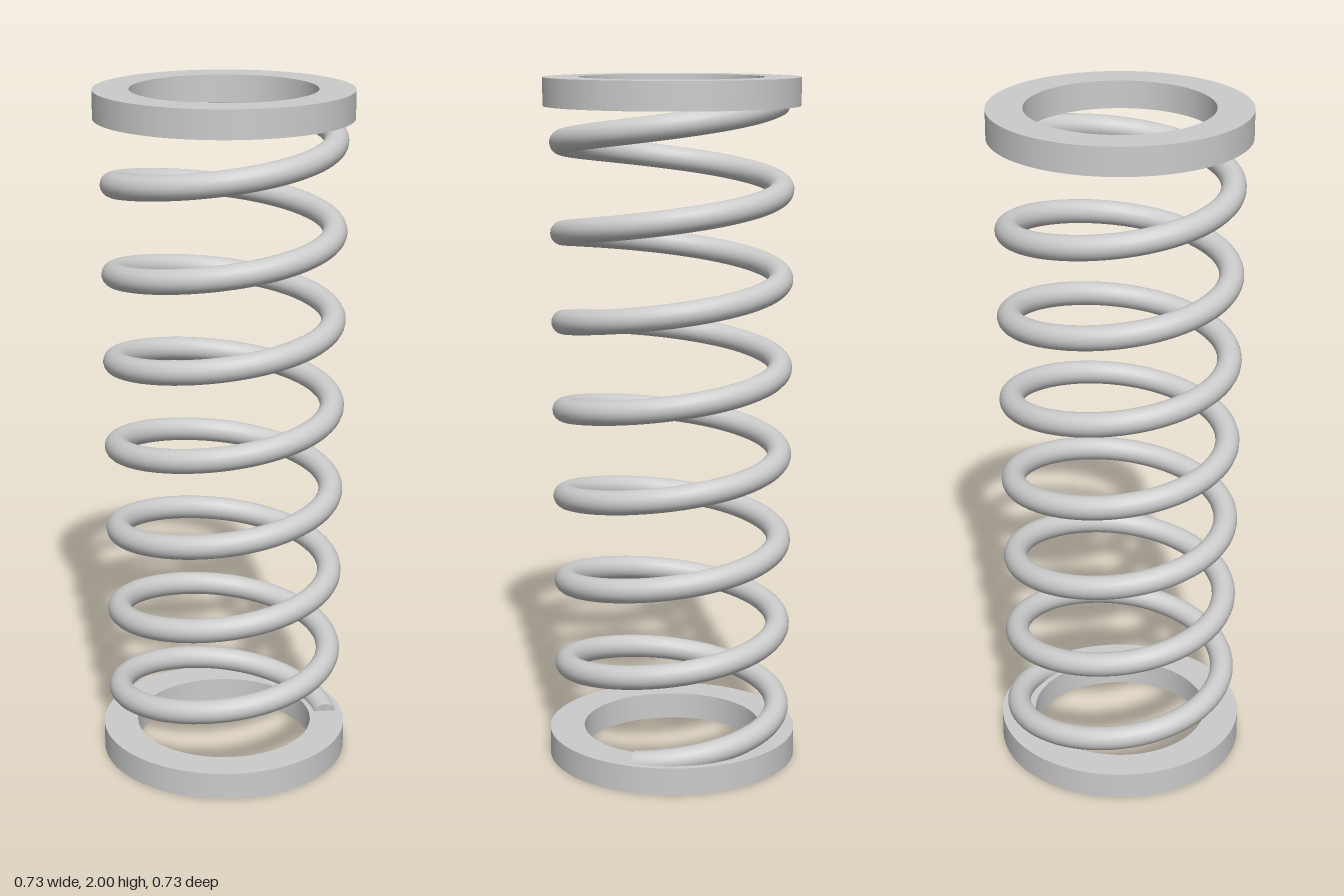
import * as THREE from 'three';

const RING_OUTER = 0.365, RING_INNER = 0.263, RING_HEIGHT = 0.08;
const COIL_RADIUS = 0.313, WIRE_RADIUS = 0.035;
const TURNS = 7.25, COIL_BOTTOM = 0.07, COIL_TOP = 1.93;

// Helix rising from +x towards the back
class Helix extends THREE.Curve {
  getPoint(t, target = new THREE.Vector3()) {
    const a = t * TURNS * Math.PI * 2;
    return target.set(
      COIL_RADIUS * Math.cos(a),
      THREE.MathUtils.lerp(COIL_BOTTOM, COIL_TOP, t),
      -COIL_RADIUS * Math.sin(a)
    );
  }
}

export function createModel() {
  const group = new THREE.Group();
  const material = new THREE.MeshStandardMaterial({ color: 0xcccccc });

  const add = (name, geometry) => {
    const mesh = new THREE.Mesh(geometry, material);
    mesh.name = name;
    group.add(mesh);
    return mesh;
  };

  // Flat end rings
  const outline = new THREE.Shape().absarc(0, 0, RING_OUTER, 0, Math.PI * 2, false);
  outline.holes.push(new THREE.Path().absarc(0, 0, RING_INNER, 0, Math.PI * 2, true));
  const ring = new THREE.ExtrudeGeometry(outline, {
    depth: RING_HEIGHT, bevelEnabled: false, curveSegments: 96,
  }).rotateX(-Math.PI / 2);
  add('bottomRing', ring);
  add('topRing', ring).position.y = 2 - RING_HEIGHT;

  // Coiled wire
  const helix = new Helix();
  add('coil', new THREE.TubeGeometry(helix, 520, WIRE_RADIUS, 20, false));

  // Flat cut ends of the wire, facing outwards along it
  for (const [name, t, sign] of [['coilStart', 0, -1], ['coilEnd', 1, 1]]) {
    const cap = add(name, new THREE.CircleGeometry(WIRE_RADIUS, 20));
    cap.position.copy(helix.getPoint(t));
    cap.quaternion.setFromUnitVectors(
      new THREE.Vector3(0, 0, 1),
      helix.getTangent(t).multiplyScalar(sign)
    );
  }

  return group;
}
